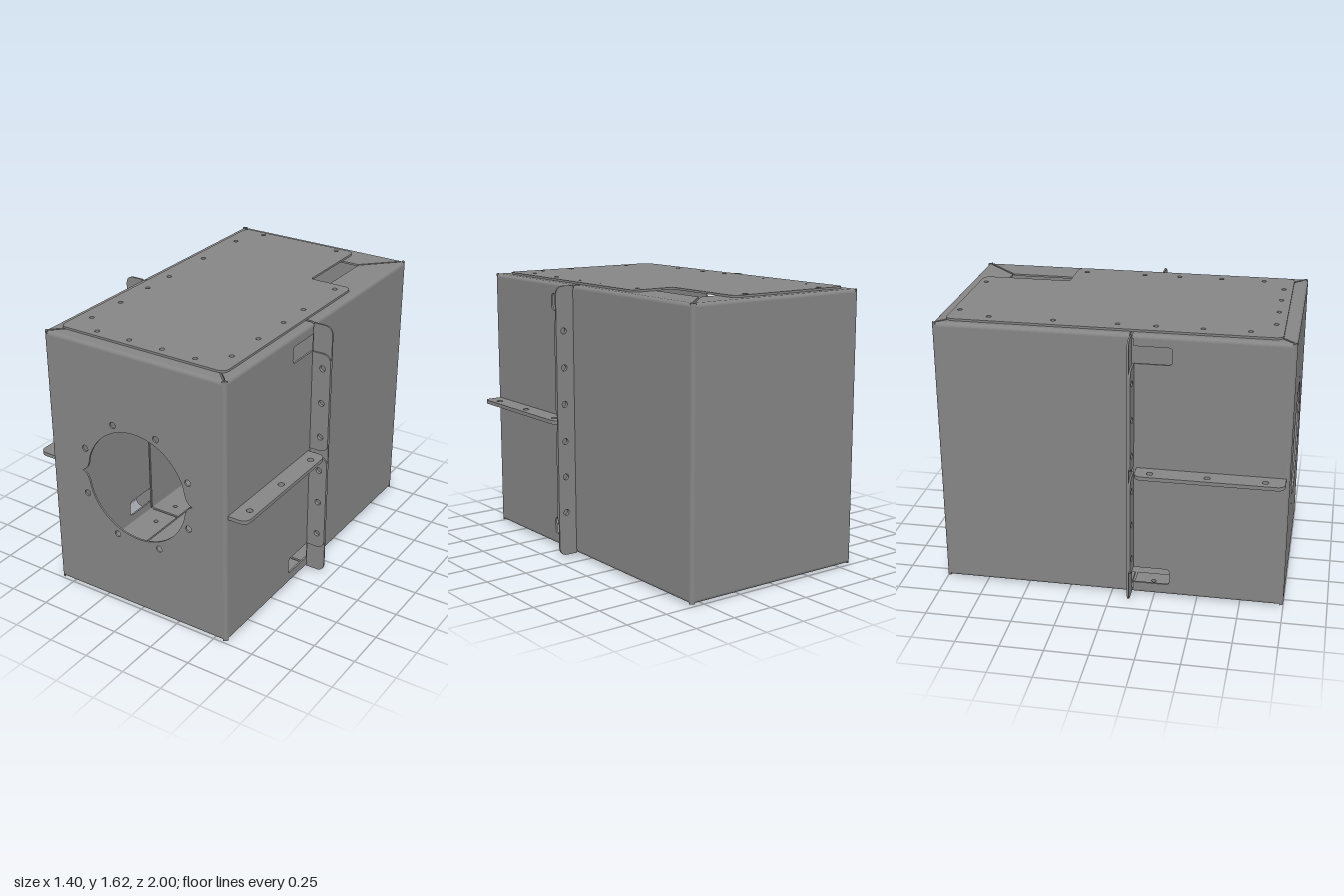
import * as THREE from 'three';

const W = 0.585, Y0 = 0.012, Y1 = 1.604, T = 0.011, R = 0.022, LIP = 0.375, SEAM = 0.12;
const MID = (Y0 + Y1) / 2, H = 0.808;
const V = (x, y, z) => new THREE.Vector3(x, y, z);
const X = V(1, 0, 0), Y = V(0, 1, 0), Z = V(0, 0, 1);
const steel = new THREE.MeshStandardMaterial({ color: 0x858585, side: THREE.DoubleSide });

// Polygon whose corners [x, y, radius] may be rounded
function outline(pts) {
  const s = new THREE.Shape();
  pts.forEach(([x, y, r = 0], i) => {
    const p = new THREE.Vector2(x, y);
    const toward = (q) => new THREE.Vector2(q[0], q[1]).sub(p).setLength(r).add(p);
    const a = toward(pts.at(i - 1)), b = toward(pts[(i + 1) % pts.length]);
    if (i === 0) s.moveTo(a.x, a.y); else s.lineTo(a.x, a.y);
    if (r) s.quadraticCurveTo(x, y, b.x, b.y);
  });
  s.closePath();
  return s;
}

const rect = (x0, x1, y0, y1) => outline([[x0, y0], [x1, y0], [x1, y1], [x0, y1]]);

const round = (r) => ([x, y]) => new THREE.Path().absarc(x, y, r, 0, Math.PI * 2);

// Round opening with a pointed cusp on either side
function cuspedHole(cx, cy, r, tip) {
  const p = new THREE.Path(), a = 0.28, c = Math.cos(a) * r, d = Math.sin(a) * r;
  p.moveTo(cx + c, cy + d);
  p.absarc(cx, cy, r, a, Math.PI - a);
  p.quadraticCurveTo(cx - r * 0.99, cy + 0.01, cx - tip, cy);
  p.quadraticCurveTo(cx - r * 0.99, cy - 0.01, cx - c, cy - d);
  p.absarc(cx, cy, r, Math.PI + a, Math.PI * 2 - a);
  p.quadraticCurveTo(cx + r * 0.99, cy - 0.01, cx + tip, cy);
  p.quadraticCurveTo(cx + r * 0.99, cy + 0.01, cx + c, cy + d);
  return p;
}

export function createModel() {
  const root = new THREE.Group();

  function place(name, geo, u, v, at) {
    const m = new THREE.Matrix4().makeBasis(u, v, u.clone().cross(v)).setPosition(at);
    const mesh = new THREE.Mesh(geo.applyMatrix4(m), steel);
    mesh.name = name;
    root.add(mesh);
  }

  // Flat sheet drawn in the u, v plane, thickened along u x v
  function sheet(name, shape, holes, u, v, at, depth = T) {
    shape.holes.push(...holes);
    place(name, new THREE.ExtrudeGeometry(shape, { depth, bevelEnabled: false, curveSegments: 20 }), u, v, at);
  }

  // Quarter-round fold between the directions u and v
  function bend(name, length, u, v, at) {
    const s = new THREE.Shape();
    s.absarc(0, 0, R, 0, Math.PI / 2);
    s.absarc(0, 0, R - T, Math.PI / 2, 0, true);
    const g = new THREE.ExtrudeGeometry(s, { depth: length, bevelEnabled: false, curveSegments: 6 });
    place(name, g.translate(0, 0, -length / 2), u, v, at);
  }

  // Front and back walls
  const ring = [];
  for (const s of [1, -1]) for (const [x, y] of [[0.143, 0.345], [0.345, 0.143]])
    ring.push([s * x, H + y], [s * x, H - y]);
  const wall = () => rect(-W + R, W - R, Y0 + R, Y1 - R);
  sheet('frontWall', wall(), [cuspedHole(0, H, 0.33, 0.375), ...ring.map(round(0.019))], X, Y, V(0, 0, 1 - T));
  sheet('backWall', wall(), [], X, Y, V(0, 0, -1));

  // Side walls, joining flanges and fins
  const bolts = [0.272, 0.487, 0.699, 0.919, 1.133, 1.347];
  for (const s of [1, -1]) {
    const at = V(s > 0 ? W : -W + T, 0, 0);
    const b = Y0 + R, t = Y1 - R, f = SEAM + 0.007, n = 0.34;
    sheet('rearSideWall', rect(-1 + R, SEAM - 0.007, b, t), [], Z, Y, at);
    sheet('frontSideWall', outline([
      [1 - R, b], [1 - R, t], [f, t], [f, 1.54], [n, 1.54, 0.025], [n, 1.44, 0.025], [f, 1.44],
      [f, 0.18], [n, 0.18, 0.025], [n, 0.08, 0.025], [f, 0.08], [f, b],
    ]), [], Z, Y, at);

    const flange = (y0, y1) => outline([
      [s * (W - 0.004), y0], [s * 0.70, y0, 0.055], [s * 0.70, y1, 0.055], [s * (W - 0.004), y1]]);
    const drilled = (y0, y1) => bolts.filter((y) => y > y0 && y < y1).map((y) => [s * 0.65, y]).map(round(0.018));
    sheet('rearFlange', flange(0.012, 1.604), drilled(0, 2), X, Y, V(0, 0, SEAM - 0.01), 0.01);
    for (const [y0, y1] of [[0.18, 0.79], [0.83, 1.437]])
      sheet('frontFlange', flange(y0, y1), drilled(y0, y1), X, Y, V(0, 0, SEAM), 0.01);

    sheet('sideFin', outline([
      [s * (W - T), 0.145], [s * 0.70, 0.145, 0.05], [s * 0.70, 0.98, 0.05], [s * (W - T), 0.98]]),
      [0.23, 0.55, 0.87].map((z) => [s * 0.65, z]).map(round(0.018)), X, Z, V(0, H + 0.011, 0), 0.022);

    // Upright corner folds, running the full height
    for (const e of [1, -1])
      bend('cornerFold', Y1 - Y0, X.clone().multiplyScalar(s), Z.clone().multiplyScalar(e),
        V(s * (W - R), MID, e * (1 - R)));
  }

  // Screw positions shared by covers and lips, as [x, z]
  const screws = [[-0.375, -0.898], [0.155, -0.898], [0.455, -0.342]];
  for (const z of [0.018, 0.23, 0.487, 0.743]) screws.push([0.455, z]);
  for (const z of [-0.706, -0.342, 0.018, 0.23, 0.487, 0.743]) screws.push([-0.46 + 0.003 * z, z]);
  for (const x of [-0.32, -0.107, 0.107, 0.315]) screws.push([x, 0.87]);
  const holesWhere = (test) => screws.filter(test).map(round(0.014));

  // Folded lips round the top and bottom openings, mitred at the corners
  const inner = 1 - W + LIP, gap = 0.008;
  for (const e of [1, -1]) {
    const up = Y.clone().multiplyScalar(e);
    const lipAt = V(0, e > 0 ? Y1 : Y0 + T, 0);
    const cy = e > 0 ? Y1 - R : Y0 + R;
    for (const s of [1, -1]) {
      const sideways = X.clone().multiplyScalar(s), along = Z.clone().multiplyScalar(s);
      sheet('endLip', outline([
        [-W + R + gap, s * (1 - R)], [W - R - gap, s * (1 - R)],
        [LIP - gap, s * inner], [-LIP + gap, s * inner],
      ]), holesWhere(([, z]) => z * s > 0.8), X, Z, lipAt);
      bend('endLipFold', 2 * (W - R), up, along, V(0, cy, s * (1 - R)));
      for (const h of [1, -1]) {
        const z0 = h > 0 ? SEAM : SEAM - 0.015;
        const zOut = h * (1 - R - gap), zEnd = h * (1 - R);
        sheet('sideLip', outline([
          [s * (W - R), z0], [s * (W - R), zOut], [s * LIP, h * (inner - gap)], [s * LIP, z0],
        ]), holesWhere(([x, z]) => x * s > 0 && Math.abs(z) < 0.8 && (z - SEAM) * h > 0), X, Z, lipAt);
        bend('sideLipFold', Math.abs(zEnd - z0), sideways, up, V(s * (W - R), cy, (zEnd + z0) / 2));
      }
    }
  }

  // Screwed top cover with a notch at the back left corner
  const r = 0.05;
  sheet('topCover', outline([
    [-0.535, 0.922, r], [0.53, 0.922, r], [0.53, -0.407, r], [0.26, -0.407, 0.02], [0.26, -0.938, r], [-0.535, -0.938, r],
  ]), holesWhere(() => true), X, Z, V(0, Y1 + 0.012, 0), 0.012);

  // Bottom cover with a deeper stepped notch and a round port
  sheet('bottomCover', outline([
    [-0.535, 0.922, r], [0.53, 0.922, r], [0.53, -0.407, r], [0.26, -0.407, 0.02], [0.26, -0.64, r],
    [-0.33, -0.64, 0.02], [-0.33, -0.938, r], [-0.535, -0.938, r],
  ]), [...holesWhere(([x, z]) => z > -0.6 || x < -0.36), cuspedHole(0, -0.24, 0.19, 0.22)],
  X, Z, V(0, Y0, 0), 0.012);

  return root;
}
